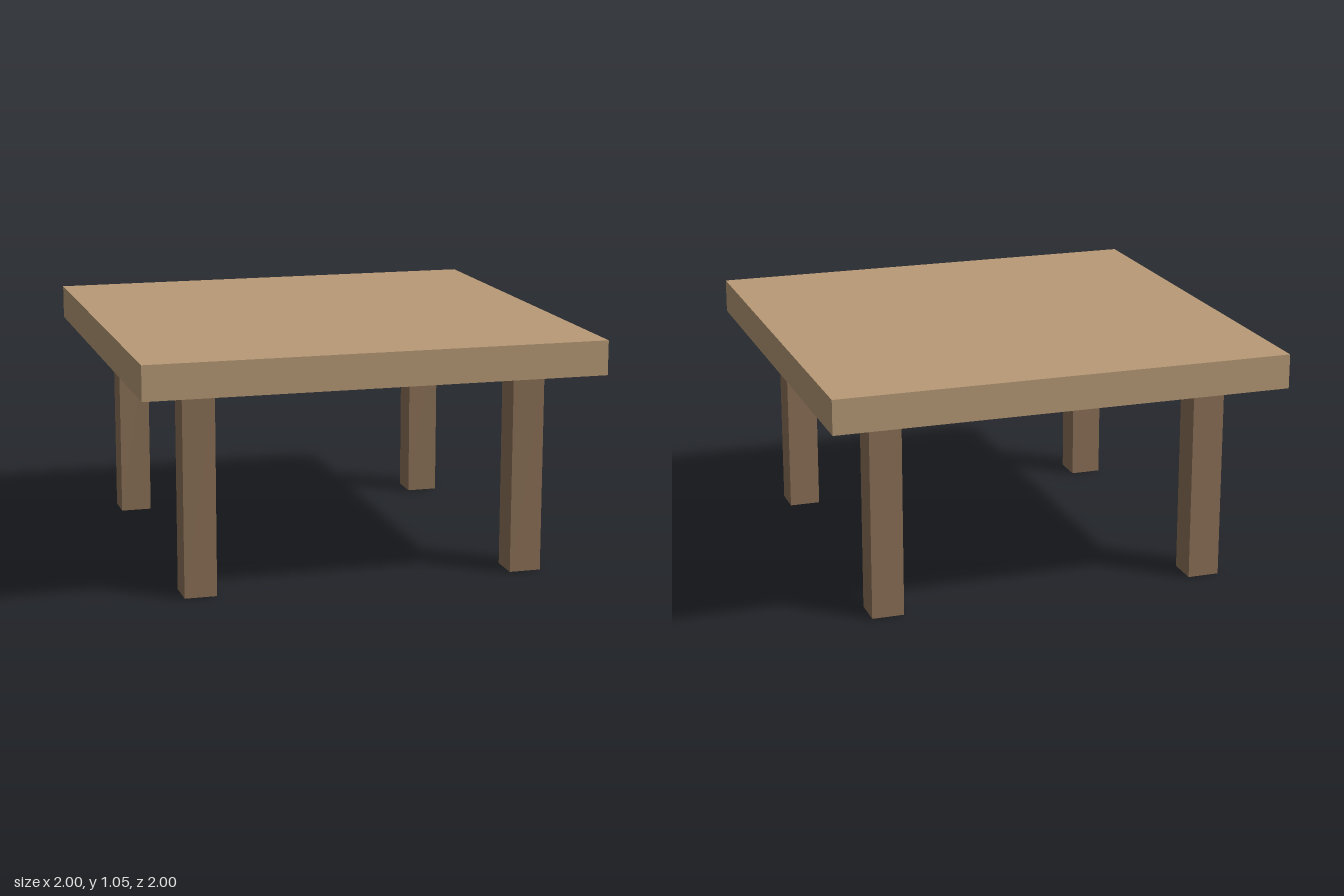
import * as THREE from 'three';

const LEG_HEIGHT = 0.9;
const LEG_WIDTH = 0.14;
const LEG_OFFSET = 0.725;
const TOP_THICKNESS = 0.15;

export function createModel() {
  const table = new THREE.Group();
  table.name = 'table';

  const topWood = new THREE.MeshStandardMaterial({ color: 0xb89a76 });
  const legWood = new THREE.MeshStandardMaterial({ color: 0x8b7056 });

  // Square slab top
  const top = new THREE.Mesh(new THREE.BoxGeometry(2, TOP_THICKNESS, 2), topWood);
  top.name = 'tableTop';
  top.position.y = LEG_HEIGHT + TOP_THICKNESS / 2;
  table.add(top);

  // Four square legs, inset from the corners
  const legGeometry = new THREE.BoxGeometry(LEG_WIDTH, LEG_HEIGHT, LEG_WIDTH);
  for (const [zName, z] of [['front', 1], ['back', -1]]) {
    for (const [xName, x] of [['Left', 1], ['Right', -1]]) {
      const leg = new THREE.Mesh(legGeometry, legWood);
      leg.name = `${zName}${xName}Leg`;
      leg.position.set(x * LEG_OFFSET, LEG_HEIGHT / 2, z * LEG_OFFSET);
      table.add(leg);
    }
  }

  return table;
}
